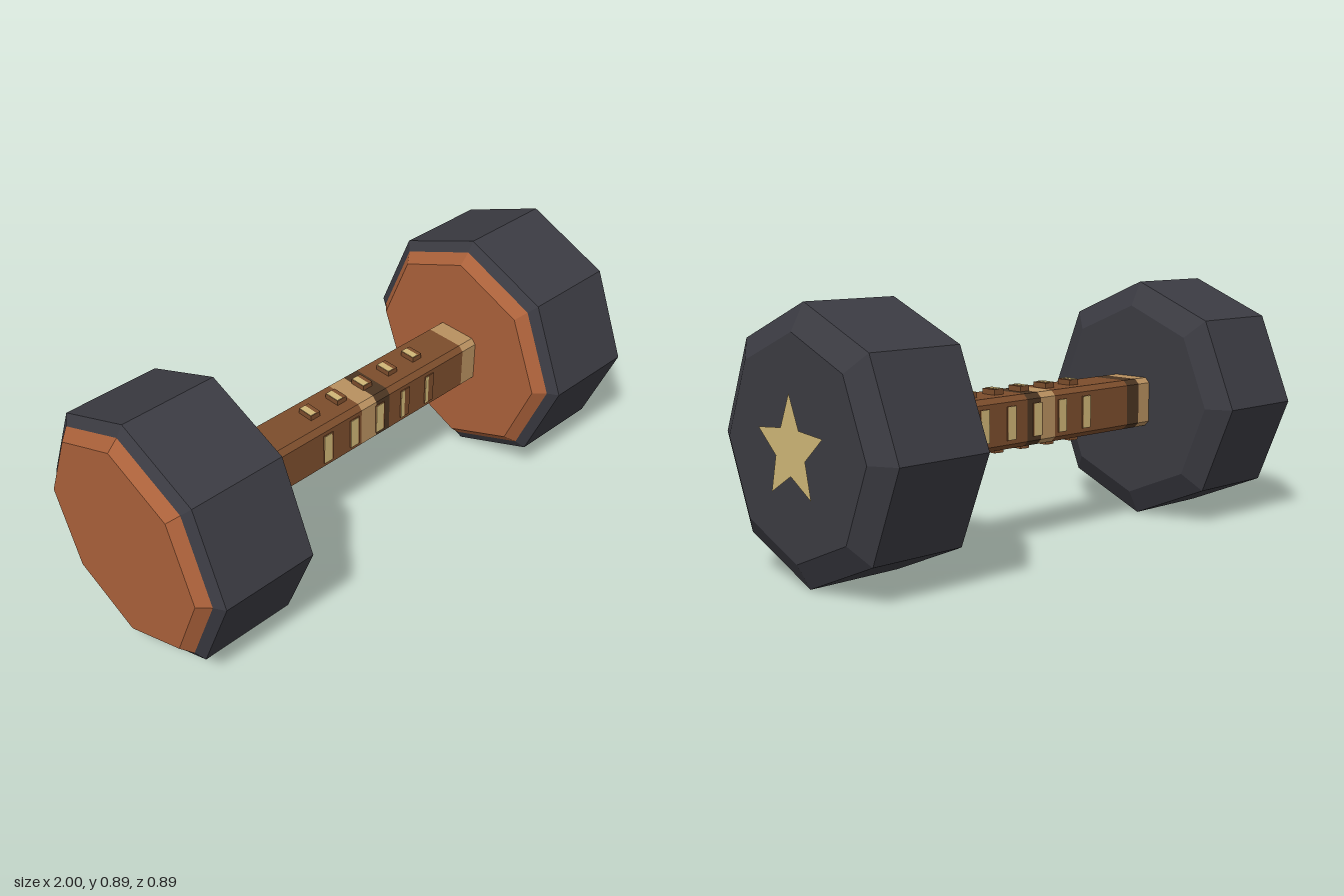
import * as THREE from 'three';

const paint = (name, color, extra = {}) => {
  const m = new THREE.MeshStandardMaterial({ color, ...extra });
  m.name = name;
  return m;
};

export function createModel() {
  const iron = paint('iron', 0x3b3b42, { flatShading: true });
  const copper = paint('copper', 0xab613a, { flatShading: true });
  const brown = paint('brown', 0x7c4d2c, { flatShading: true });
  const darkBrown = paint('darkBrown', 0x4b3522, { flatShading: true });
  const tan = paint('tan', 0xb8905f, { flatShading: true });
  const gold = paint('gold', 0xcfb676, { flatShading: true });

  const model = new THREE.Group();
  model.name = 'dumbbell';
  const CY = 0.445; // height of the bar's axis

  const add = (parent, name, geometry, material, x = 0, y = 0, z = 0) => {
    const mesh = new THREE.Mesh(geometry, material);
    mesh.name = name;
    mesh.position.set(x, y, z);
    parent.add(mesh);
    return mesh;
  };

  // Eight-sided solid along x from [radius, x] points
  const octagon = (points) => new THREE.LatheGeometry(
    points.map(([r, x]) => new THREE.Vector2(r, x)), 8).rotateZ(-Math.PI / 2);

  // Weights: iron body with a copper plate on the -x face
  const bodyGeo = octagon([[0.408, 0.037], [0.445, 0.06], [0.445, 0.405], [0.357, 0.453], [0, 0.453]]);
  const plateGeo = octagon([[0, 0], [0.37, 0], [0.408, 0.037]]);
  for (const [name, x] of [['rightWeight', -1], ['leftWeight', 0.533]]) {
    const weight = new THREE.Group();
    weight.name = name;
    weight.position.set(x, CY, 0);
    add(weight, 'weightBody', bodyGeo, iron);
    add(weight, 'copperPlate', plateGeo, copper);
    model.add(weight);
  }

  // Flat star standing just off the outer iron face
  const star = new THREE.Shape();
  for (let i = 0; i < 10; i++) {
    const a = Math.PI / 2 + i * Math.PI / 5;
    const r = i % 2 ? 0.08 : 0.175;
    star[i ? 'lineTo' : 'moveTo'](r * Math.cos(a), r * Math.sin(a));
  }
  star.closePath();
  add(model, 'star', new THREE.ShapeGeometry(star).rotateY(Math.PI / 2), gold, 1, CY, 0);

  // Handle: chamfered square bar in coloured bands
  const H = 0.091, C = 0.073;
  const section = new THREE.Shape([
    [H, -C], [H, C], [C, H], [-C, H], [-H, C], [-H, -C], [-C, -H], [C, -H],
  ].map(([x, y]) => new THREE.Vector2(x, y)));
  const handle = new THREE.Group();
  handle.name = 'handle';
  handle.position.y = CY;
  model.add(handle);
  const bands = [
    [-0.56, -0.488, tan], [-0.488, -0.424, darkBrown], [-0.424, -0.045, brown],
    [-0.045, 0.025, tan], [0.025, 0.09, darkBrown], [0.09, 0.465, brown], [0.465, 0.54, tan],
  ];
  for (const [a, b, material] of bands) {
    const geo = new THREE.ExtrudeGeometry(section, { depth: b - a, bevelEnabled: false });
    add(handle, material.name + 'Band', geo.rotateY(Math.PI / 2), material, a);
  }

  // Studs through the bar, with gold caps and side strips
  const frontWidths = [0.034, 0.034, 0.034, 0.016, 0.014];
  frontWidths.forEach((width, i) => {
    const stud = new THREE.Group();
    stud.name = 'stud';
    stud.position.x = -0.203 + i * 0.123;
    handle.add(stud);
    add(stud, 'uprightStud', new THREE.BoxGeometry(0.042, 0.22, 0.06), brown);
    add(stud, 'crossStud', new THREE.BoxGeometry(0.042, 0.116, 0.19), brown);
    for (const s of [-1, 1]) {
      add(stud, 'goldCap', new THREE.BoxGeometry(0.024, 0.002, 0.056), gold, -0.008, s * 0.1105, 0);
    }
    add(stud, 'frontStrip', new THREE.BoxGeometry(width, 0.114, 0.002), gold, -0.02 + width / 2, 0, 0.0955);
    add(stud, 'backStrip', new THREE.BoxGeometry(0.036, 0.114, 0.002), gold, 0, 0, -0.0955);
  });

  return model;
}
